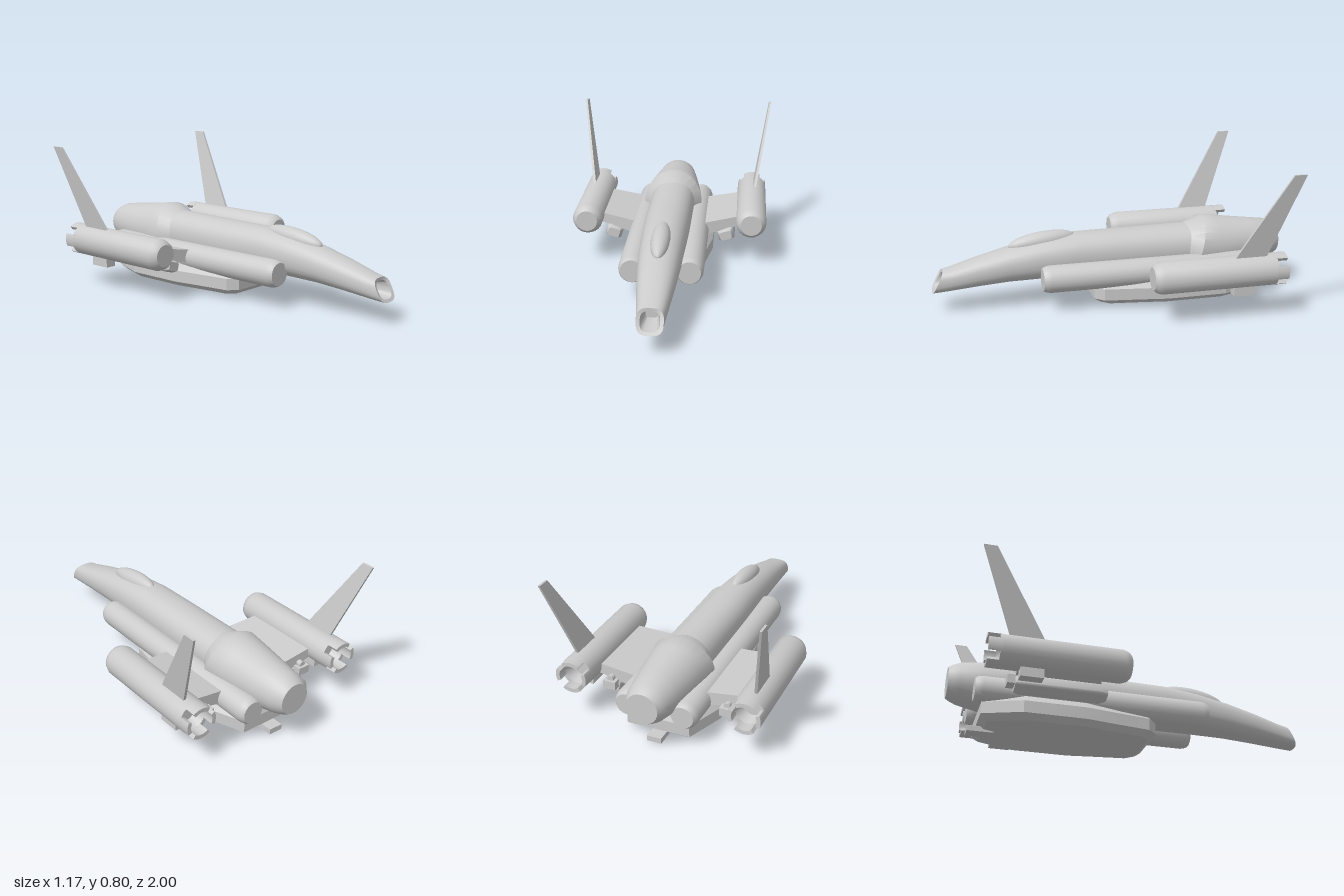
import * as THREE from 'three';
import { toCreasedNormals } from 'three/addons/utils/BufferGeometryUtils.js';

const material = new THREE.MeshStandardMaterial({ color: 0xcccccc });

// Skin a list of closed rings and cap both ends; side -1 mirrors across x.
// Ring points run counter-clockwise as seen from the first ring's end.
function loft(rings, side = 1, crease = 0.6) {
  if (side < 0) {
    rings = rings.map(r => r.map(p => new THREE.Vector3(-p.x, p.y, p.z)).reverse());
  }
  const n = rings[0].length, pos = [], index = [];
  const center = r => r.reduce((s, p) => s.add(p), new THREE.Vector3()).divideScalar(n);
  rings.forEach(r => r.forEach(p => pos.push(p.x, p.y, p.z)));
  const first = pos.length / 3, last = rings.length - 1;
  pos.push(...center(rings[0]).toArray(), ...center(rings[last]).toArray());
  for (let k = 0; k < n; k++) {
    const k1 = (k + 1) % n;
    for (let i = 0; i < last; i++) {
      const a = i * n + k, b = i * n + k1;
      index.push(a, a + n, b, b, a + n, b + n);
    }
    index.push(first, k, k1, first + 1, last * n + k1, last * n + k);
  }
  const g = new THREE.BufferGeometry();
  g.setAttribute('position', new THREE.Float32BufferAttribute(pos, 3));
  g.setIndex(index);
  return toCreasedNormals(g, crease);
}

// Rounded cross-section facing z; power 2 is an ellipse, higher is boxier
function section(z, cx, cy, rx, ry, power = 2, slant = 0, n = 28) {
  return Array.from({ length: n }, (_, k) => {
    const t = (k / n) * Math.PI * 2, c = Math.cos(t), s = Math.sin(t);
    const round = v => Math.sign(v) * Math.abs(v) ** (2 / power);
    return new THREE.Vector3(cx + rx * round(c), cy + ry * round(s), z - slant * round(s));
  });
}

const v = (x, y, z) => new THREE.Vector3(x, y, z);

export function createModel() {
  const model = new THREE.Group();
  const add = (name, geometry, parent = model) => {
    const mesh = new THREE.Mesh(geometry, material);
    mesh.name = name;
    parent.add(mesh);
    return mesh;
  };
  const box = (name, w, h, d, x, y, z, parent) =>
    add(name, new THREE.BoxGeometry(w, h, d).translate(x, y, z), parent);

  // Fuselage, starting inside the hollow nose: [z, bottom, top, half width, power, slant]
  const body = [
    [0.86, 0.145, 0.2, 0.032, 3, 0], [0.965, 0.13, 0.218, 0.05, 3, 0.025],
    [0.97, 0.115, 0.235, 0.068, 3, 0.03], [0.9, 0.12, 0.25, 0.075, 2.6, 0.015],
    [0.75, 0.135, 0.292, 0.091, 2.4, 0], [0.58, 0.147, 0.337, 0.106, 2.3, 0],
    [0.4, 0.15, 0.372, 0.117, 2.3, 0], [0.2, 0.15, 0.395, 0.125, 2.3, 0],
    [0, 0.15, 0.397, 0.13, 2.3, 0], [-0.46, 0.15, 0.404, 0.132, 2.2, 0],
  ];
  add('fuselage', loft(body.map(([z, lo, hi, w, p, s]) =>
    section(z, 0, (lo + hi) / 2, w, (hi - lo) / 2, p, s))));

  // Teardrop canopy
  const canopy = add('canopy', new THREE.SphereGeometry(1, 24, 16));
  canopy.scale.set(0.052, 0.055, 0.19);
  canopy.position.set(0, 0.36, 0.385);
  canopy.rotation.x = 0.12;

  // Main engine with a slanted collar: [z, centre y, radius, slant]
  const engine = [
    [-0.44, 0.27, 0.13, 0], [-0.5, 0.27, 0.175, 0.05], [-0.62, 0.272, 0.162, 0.01],
    [-0.83, 0.275, 0.133, 0], [-0.94, 0.28, 0.114, 0], [-0.975, 0.28, 0.1, 0], [-1, 0.28, 0.085, 0],
  ];
  add('mainEngine', loft(engine.map(([z, y, r, s]) => section(z, 0, y, r, r, 2, s))));

  // Belly hull: half outline [x, z] repeated at levels [y, x scale, z scale]
  const half = [[0.15, 0.12], [0.2, 0.07], [0.225, -0.1], [0.255, -0.28], [0.255, -0.62], [0.175, -0.83]];
  const outline = [...half, ...half.map(([x, z]) => [-x, z]).reverse()];
  const levels = [[0.155, 0.87, 0.96], [0.115, 1, 1], [0.05, 1, 1], [0.02, 0.86, 0.92], [0, 0.42, 0.65]];
  add('bellyHull', loft(levels.map(([y, sx, sz]) =>
    outline.map(([x, z]) => v(x * sx, y, -0.37 + (z + 0.37) * sz))), 1, 0.3));
  box('hullTail', 0.08, 0.03, 0.14, 0, 0.02, -0.81);

  // Ring sector used for the nozzle petals
  const petal = (mid, width) => {
    const shape = new THREE.Shape();
    shape.absarc(0, 0, 0.088, mid - width / 2, mid + width / 2, false);
    shape.absarc(0, 0, 0.066, mid + width / 2, mid - width / 2, true);
    return new THREE.ExtrudeGeometry(shape, { depth: 0.07, bevelEnabled: false, curveSegments: 8 });
  };

  for (const side of [1, -1]) {
    const g = new THREE.Group();
    g.name = side > 0 ? 'leftSide' : 'rightSide';
    model.add(g);
    const tube = (name, x, y, profile, n = 24) =>
      add(name, loft(profile.map(([z, r]) => section(z, side * x, y, r, r, 2, 0, n))), g);

    // Long body pod
    tube('bodyPod', 0.155, 0.188, [[0.41, 0.063], [0.395, 0.071], [0.37, 0.076],
      [-0.83, 0.076], [-0.855, 0.071], [-0.87, 0.06]]);

    // Outer engine with a recessed nozzle and petals
    tube('outerEngine', 0.48, 0.262, [[-0.12, 0.061], [-0.135, 0.077], [-0.165, 0.088],
      [-0.8, 0.088], [-0.8, 0.066], [-0.74, 0.05]]);
    for (let i = 0; i < 4; i++) {
      const width = i % 2 ? 1.22 : 0.85;
      add('nozzlePetal', petal(i * Math.PI / 2, width).translate(side * 0.48, 0.262, -0.86), g);
    }
    box('engineFoot', 0.06, 0.06, 0.12, side * 0.48, 0.16, -0.63, g);

    // Wing between pod and outer engine: [x, bottom, top, front z, back z]
    const wing = [[0.41, 0.215, 0.272, -0.25, -0.69], [0.2, 0.16, 0.238, -0.21, -0.68]];
    add('wing', loft(wing.map(([x, lo, hi, f, b]) =>
      [v(x, lo, f), v(x, lo, b), v(x, hi, b), v(x, hi, f)]), side), g);

    // Swept fin, tip first: [x, y, front z, back z, half thickness]
    const fin = [[0.58, 0.803, -0.85, -0.92, 0.006], [0.495, 0.325, -0.56, -0.74, 0.008]];
    add('fin', loft(fin.map(([x, y, f, b, t]) =>
      [v(x + t, y, f), v(x + t, y, b), v(x - t, y, b), v(x - t, y, f)]), side), g);

    // Tilted pod under the wing with a small exhaust
    const pod = add('wingPod', loft([[-0.205, 0.7], [-0.24, 1], [-0.66, 1], [-0.69, 0.85]].map(([z, s]) =>
      section(z, 0, 0, 0.049 * s, 0.036 * s, 5))), g);
    pod.position.set(side * 0.332, 0.163, 0);
    pod.rotation.z = side * 0.29;
    box('podExhaust', 0.072, 0.045, 0.08, side * 0.332, 0.175, -0.69, g);
    tube('podThruster', 0.332, 0.205, [[-0.66, 0.018], [-0.715, 0.018]], 12);
  }
  return model;
}
